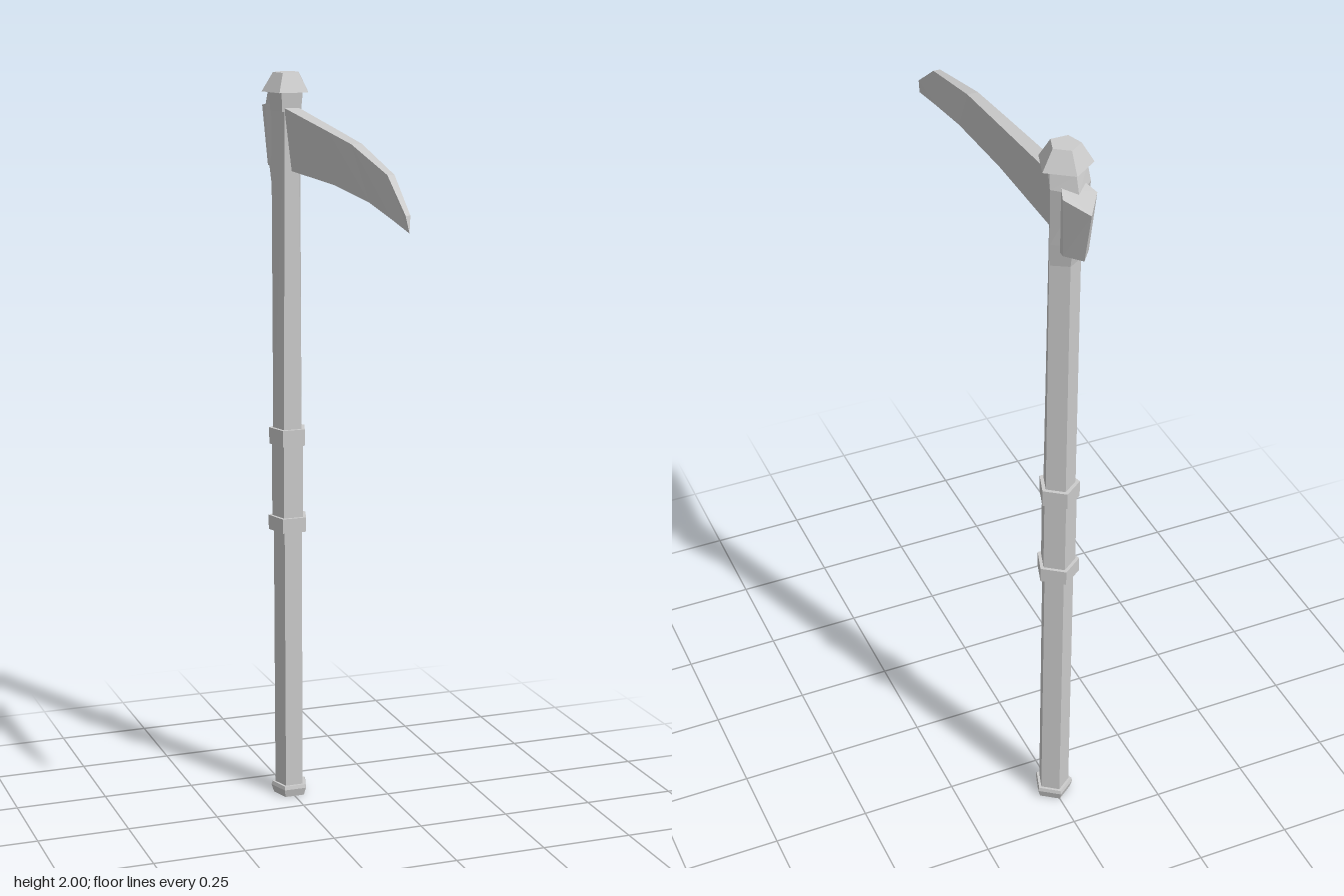
import * as THREE from 'three';

const SHAFT_Z = -0.362;
const material = new THREE.MeshStandardMaterial({ color: 0xcccccc, flatShading: true });

function addMesh(group, name, geometry) {
  const mesh = new THREE.Mesh(geometry, material);
  mesh.name = name;
  group.add(mesh);
  return mesh;
}

// Skins matching convex cross-sections, counter-clockwise seen from the far end
function loft(sections) {
  const n = sections[0].length;
  const index = [];
  for (let s = 0; s < sections.length - 1; s++) {
    for (let i = 0; i < n; i++) {
      const j = (i + 1) % n;
      const a = s * n, b = a + n;
      index.push(a + i, a + j, b + j, a + i, b + j, b + i);
    }
  }
  const end = (sections.length - 1) * n;
  for (let i = 1; i < n - 1; i++) {
    index.push(0, i + 1, i);
    index.push(end, end + i, end + i + 1);
  }
  const geometry = new THREE.BufferGeometry();
  geometry.setAttribute('position', new THREE.Float32BufferAttribute(sections.flat(2), 3));
  geometry.setIndex(index);
  const flat = geometry.toNonIndexed();
  flat.computeVertexNormals();
  return flat;
}

// Five-sided drum with its ridge to the back and a flat to the front
function drum(group, name, y0, y1, r0, r1 = r0) {
  const geometry = new THREE.CylinderGeometry(r1, r0, y1 - y0, 5);
  geometry.rotateY(Math.PI);
  geometry.translate(0, (y0 + y1) / 2, SHAFT_Z);
  return addMesh(group, name, geometry);
}

// Five-cornered section at a height: front, side and back-ridge corners
const five = (y, fx, fz, sx, sz, bz) => [
  [fx, y, fz], [sx, y, sz], [0, y, bz], [-sx, y, sz], [-fx, y, fz],
];

export function createModel() {
  const model = new THREE.Group();
  model.name = 'scythe';

  // Handle
  drum(model, 'buttCapBevel', 0, 0.022, 0.046, 0.053);
  drum(model, 'buttCap', 0.022, 0.032, 0.053, 0.05);
  drum(model, 'lowerShaft', 0.03, 0.78, 0.042);
  drum(model, 'lowerRing', 0.765, 0.805, 0.056);
  drum(model, 'grip', 0.8, 1.01, 0.046);
  drum(model, 'upperRing', 1.005, 1.05, 0.053);

  // Upper shaft, its front flat narrowing towards the head
  addMesh(model, 'upperShaft', loft([
    five(1.04, 0.025, -0.328, 0.04, -0.375, -0.404),
    five(1.92, 0.019, -0.328, 0.04, -0.375, -0.404),
  ]));

  // Pommel on top
  drum(model, 'topCapNeck', 1.9, 1.952, 0.044, 0.05);
  drum(model, 'topCap', 1.95, 2, 0.067, 0.037);

  // Socket swelling out of the back of the shaft
  addMesh(model, 'socket', loft([
    five(1.69, 0.02, -0.335, 0.038, -0.375, -0.402),
    five(1.76, 0.02, -0.335, 0.043, -0.385, -0.415),
    five(1.91, 0.02, -0.335, 0.05, -0.395, -0.44),
    five(1.95, 0.02, -0.335, 0.046, -0.385, -0.425),
  ]));

  // Ridged wedge behind the socket, with a sloping top
  const wedge = (yFront, ySide, yBack, sx, sz, bz) => [
    [0.03, yFront, -0.41], [sx, ySide, sz], [0, yBack, bz], [-sx, ySide, sz], [-0.03, yFront, -0.41],
  ];
  addMesh(model, 'backWedge', loft([
    wedge(1.75, 1.753, 1.757, 0.032, -0.43, -0.475),
    wedge(1.918, 1.91, 1.892, 0.042, -0.445, -0.506),
  ]));

  // Blade: thick spine above, sharp edge below [spine z, spine y, edge z, edge y, half width]
  const stations = [
    [-0.36, 1.913, -0.36, 1.745, 0.02],
    [0, 1.878, 0, 1.745, 0.016],
    [0.16, 1.862, 0.25, 1.73, 0.014],
    [0.39, 1.812, 0.4, 1.708, 0.009],
    [0.5, 1.73, 0.51, 1.69, 0.006],
  ];
  addMesh(model, 'blade', loft(stations.map(([sz, sy, ez, ey, w]) => [
    [-w, sy, sz], [0, ey, ez], [w, sy, sz],
  ])));

  return model;
}
